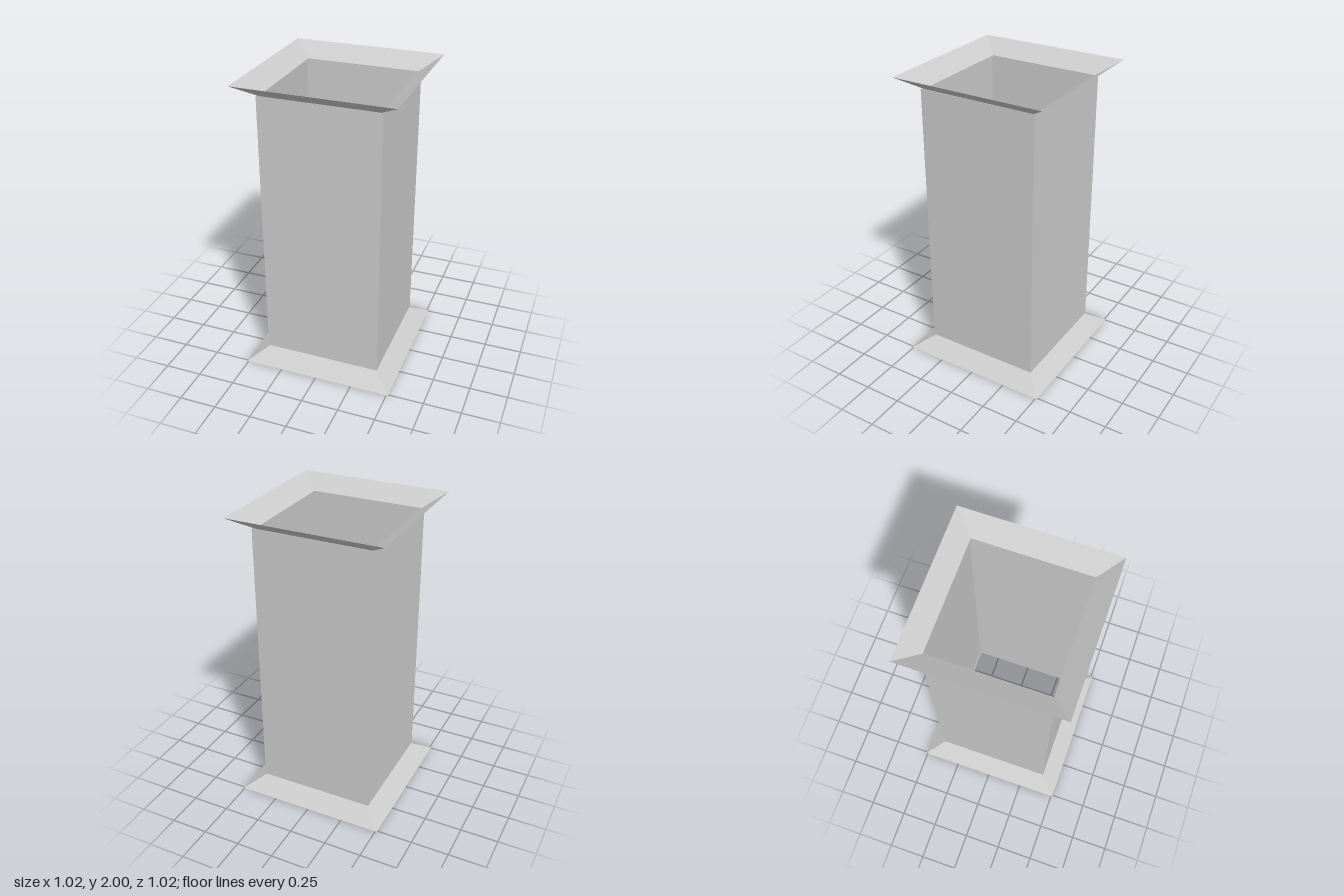
import * as THREE from 'three';

// Open four-sided sleeve, given its half-widths at the top and bottom heights
function squareSleeve(name, topHalf, bottomHalf, topY, bottomY, material) {
  const r = Math.SQRT2;
  const geometry = new THREE.CylinderGeometry(topHalf * r, bottomHalf * r, topY - bottomY, 4, 1, true);
  geometry.rotateY(Math.PI / 4);
  geometry.translate(0, (topY + bottomY) / 2, 0);
  const mesh = new THREE.Mesh(geometry, material);
  mesh.name = name;
  return mesh;
}

export function createModel() {
  const group = new THREE.Group();
  group.name = 'squareDuct';
  const metal = new THREE.MeshStandardMaterial({ color: 0xcccccc, side: THREE.DoubleSide, flatShading: true });
  metal.name = 'light grey metal';

  const outer = 0.51, inner = 0.38, wall = 0.394, flare = 0.087, height = 2;

  // Hollow shaft, open at both ends
  group.add(squareSleeve('shaft', wall, wall, height - flare, flare, metal));
  // Flared collars, whose inner edges reach just inside the shaft
  group.add(squareSleeve('topFlange', outer, inner, height, height - flare, metal));
  group.add(squareSleeve('bottomFlange', inner, outer, flare, 0, metal));
  return group;
}
